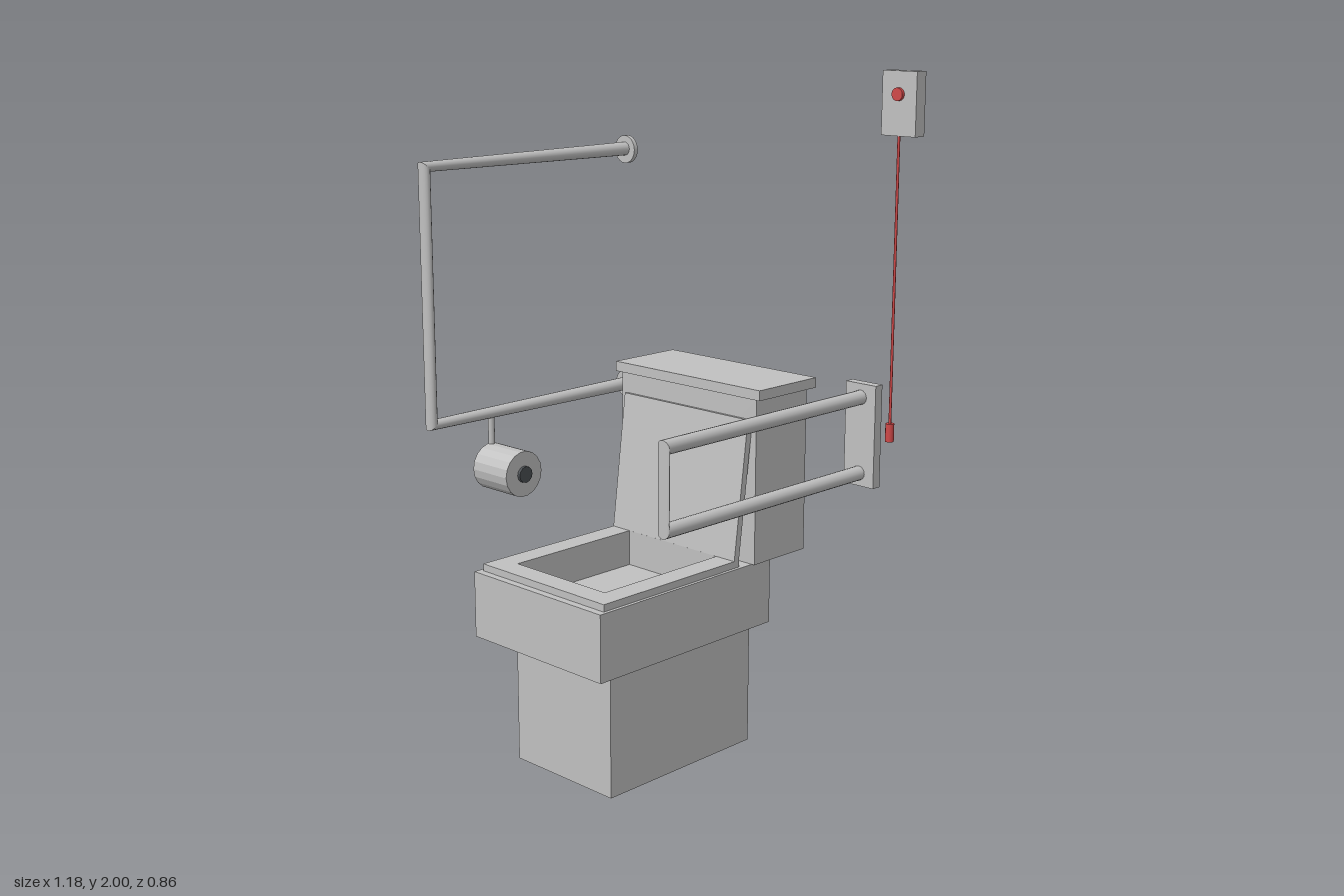
import * as THREE from 'three';

const grey = new THREE.MeshStandardMaterial({ color: 0xc0c0c0 });
grey.name = 'light grey';
const dark = new THREE.MeshStandardMaterial({ color: 0x4a4e52 });
dark.name = 'dark grey';
const red = new THREE.MeshStandardMaterial({ color: 0xd04848 });
red.name = 'signal red';

export function createModel() {
  const model = new THREE.Group();
  model.name = 'accessibleToilet';

  const add = (name, geometry, material = grey, parent = model) => {
    const mesh = new THREE.Mesh(geometry, material);
    mesh.name = name;
    parent.add(mesh);
    return mesh;
  };
  const group = (name) => {
    const g = new THREE.Group();
    g.name = name;
    model.add(g);
    return g;
  };
  // Box given by its extents along each axis
  const box = (name, [x0, x1], [y0, y1], [z0, z1], parent) => {
    const geo = new THREE.BoxGeometry(x1 - x0, y1 - y0, z1 - z0);
    geo.translate((x0 + x1) / 2, (y0 + y1) / 2, (z0 + z1) / 2);
    return add(name, geo, grey, parent);
  };
  // Cylinder along one axis, centred on a point
  const rod = (name, axis, radius, length, [x, y, z], material, parent, sides = 16) => {
    let geo = new THREE.CylinderGeometry(radius, radius, length, sides);
    if (axis === 'x') geo.rotateZ(Math.PI / 2);
    if (axis === 'z') geo.rotateX(Math.PI / 2);
    geo.translate(x, y, z);
    return add(name, geo, material, parent);
  };
  // Horizontal rectangular frame with a rectangular opening
  const frame = (name, outer, inner, y0, y1, parent) => {
    const rect = (target, [x0, x1, z0, z1]) => {
      target.moveTo(x0, -z1).lineTo(x1, -z1).lineTo(x1, -z0).lineTo(x0, -z0).closePath();
      return target;
    };
    const shape = rect(new THREE.Shape(), outer);
    shape.holes.push(rect(new THREE.Path(), inner));
    const geo = new THREE.ExtrudeGeometry(shape, { depth: y1 - y0, bevelEnabled: false });
    geo.rotateX(-Math.PI / 2).translate(0, y0, 0);
    return add(name, geo, grey, parent);
  };
  // U-shaped rail in the yz plane: circular rings, tilted at the two corners
  const rail = (name, x, top, bottom, back, front, tilt, radius, parent) => {
    const rings = [[top, back, 0], [top, front, tilt], [bottom, front, Math.PI - tilt], [bottom, back, Math.PI]];
    const sides = 16, pos = [], index = [];
    for (const [y, z, a] of rings) {
      for (let i = 0; i < sides; i++) {
        const t = (i / sides) * Math.PI * 2, s = radius * Math.sin(t);
        pos.push(x + radius * Math.cos(t), y + s * Math.cos(a), z + s * Math.sin(a));
      }
    }
    for (let r = 0; r < rings.length - 1; r++) {
      for (let i = 0; i < sides; i++) {
        const a = r * sides + i, b = r * sides + ((i + 1) % sides);
        index.push(a, b, b + sides, a, b + sides, a + sides);
      }
    }
    // Split into three straight lengths so the corners stay crisp
    const perPiece = sides * 6;
    ['upperBar', 'frontBar', 'lowerBar'].forEach((part, r) => {
      const geo = new THREE.BufferGeometry();
      const first = r * sides;
      geo.setAttribute('position', new THREE.Float32BufferAttribute(
        pos.slice(first * 3, (first + 2 * sides) * 3), 3));
      geo.setIndex(index.slice(r * perPiece, (r + 1) * perPiece).map((i) => i - first));
      geo.computeVertexNormals();
      add(name + part[0].toUpperCase() + part.slice(1), geo, grey, parent);
    });
  };

  // Toilet: pedestal, hollow bowl and seat
  const toilet = group('toilet');
  const opening = [-0.23, 0.13, -0.115, 0.335];
  box('pedestal', [-0.245, 0.145], [0, 0.39], [-0.245, 0.33], toilet);
  box('bowlBase', [-0.313, 0.21], [0.39, 0.5], [-0.26, 0.428], toilet);
  frame('bowlRim', [-0.313, 0.21, -0.26, 0.428], opening, 0.5, 0.587, toilet);
  frame('seat', [-0.3, 0.2, -0.135, 0.405], opening, 0.587, 0.608, toilet);

  // Raised lid leaning against the tank
  const lidGeo = new THREE.BoxGeometry(0.5, 0.415, 0.02);
  lidGeo.translate(0, 0.2075, 0);
  const lid = add('raisedLid', lidGeo, grey, toilet);
  lid.position.set(-0.05, 0.606, -0.125);
  lid.rotation.x = -0.125;

  // Tank with cover and flush lever
  box('tank', [-0.325, 0.22], [0.587, 1.08], [-0.4, -0.18], toilet);
  box('tankCover', [-0.342, 0.24], [1.08, 1.11], [-0.418, -0.17], toilet);
  box('flushLever', [-0.368, -0.325], [1.005, 1.022], [-0.248, -0.23], toilet);

  // Tall wall rail on the right with round flanges
  const tall = group('rightGrabRail');
  rail('tallRail', -0.55, 1.722, 0.97, -0.415, 0.38, Math.PI / 4, 0.021, tall);
  for (const y of [1.72, 0.97]) {
    rod('wallFlange', 'z', 0.043, 0.015, [-0.55, y, -0.422], grey, tall, 24);
  }

  // Paper roll hanging from the tall rail
  const paper = group('paperHolder');
  rod('hangerStem', 'y', 0.01, 0.17, [-0.55, 0.885, 0.153], grey, paper, 12);
  const roll = rod('paperRoll', 'x', 0.07, 0.15, [-0.48, 0.805, 0.153], grey, paper, 18);
  roll.geometry = roll.geometry.toNonIndexed();
  roll.geometry.computeVertexNormals();
  rod('rollSpindle', 'x', 0.025, 0.17, [-0.48, 0.805, 0.153], dark, paper, 12);

  // Low folding rail on the left with its wall plate
  const low = group('leftGrabRail');
  rail('lowRail', 0.42, 1.083, 0.86, -0.4, 0.4, 0.25, 0.021, low);
  box('wallPlate', [0.366, 0.473], [0.822, 1.123], [-0.43, -0.4], low);

  // Emergency pull cord
  const alarm = group('emergencyCord');
  box('alarmBox', [0.473, 0.588], [1.826, 2], [-0.43, -0.39], alarm);
  rod('alarmButton', 'z', 0.018, 0.01, [0.53, 1.938, -0.385], red, alarm);
  rod('pullCord', 'y', 0.004, 0.81, [0.53, 1.425, -0.395], red, alarm, 8);
  rod('pullHandle', 'y', 0.0125, 0.052, [0.53, 1.0, -0.395], red, alarm, 12);

  return model;
}
